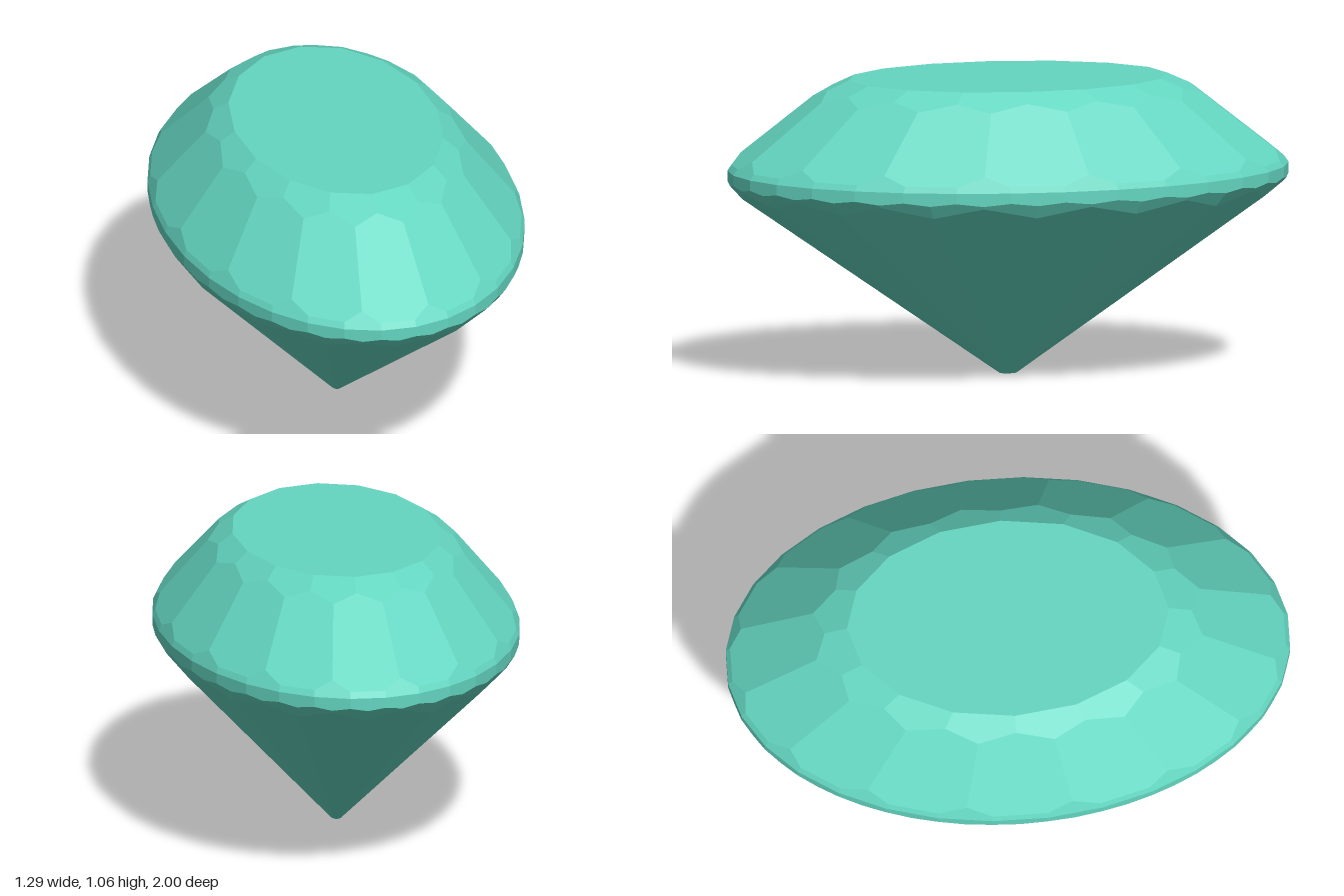
import * as THREE from 'three';

const WIDTH = 0.645; // oval: x radius relative to z radius
const STEP = Math.PI / 16; // girdle has 32 sides

// Facet rings: count, start angle in STEPs, and two profile points [radius, y], upper one first
const RINGS = [
  { name: 'starFacets', count: 16, offset: 1, top: [0.562, 1.063], bottom: [0.70, 1.0] },
  { name: 'crownFacets', count: 16, offset: 0, top: [0.687, 1.0], bottom: [0.97, 0.775] },
  { name: 'upperGirdleFacets', count: 32, offset: 0, top: [0.98, 0.77], bottom: [1, 0.742] },
  { name: 'girdle', count: 32, offset: 0, top: [1, 0.742], bottom: [1, 0.7] },
  { name: 'lowerGirdleFacets', count: 32, offset: 0.5, top: [1.005, 0.705], bottom: [0.95, 0.645] },
  { name: 'pavilionFacets', count: 16, offset: 1, top: [0.937, 0.646], bottom: [0.03, 0] },
];

// Cutting planes of one ring
function ringPlanes({ count, offset, top, bottom }) {
  const planes = [];
  for (let i = 0; i < count; i++) {
    const a = offset * STEP + (i / count) * Math.PI * 2;
    const out = top[1] - bottom[1], up = bottom[0] - top[0];
    const n = new THREE.Vector3(Math.sin(a) * out, up, Math.cos(a) * out).normalize();
    const p = new THREE.Vector3(Math.sin(a) * top[0], top[1], Math.cos(a) * top[0]);
    planes.push(new THREE.Plane().setFromNormalAndCoplanarPoint(n, p));
  }
  return planes;
}

// Keep the part of a polygon behind a plane
function clip(poly, plane) {
  const result = [];
  poly.forEach((p, i) => {
    const q = poly[(i + 1) % poly.length];
    const dp = plane.distanceToPoint(p), dq = plane.distanceToPoint(q);
    if (dp <= 1e-7) result.push(p);
    if ((dp <= 1e-7) !== (dq <= 1e-7)) result.push(p.clone().lerp(q, dp / (dp - dq)));
  });
  return result;
}

// Polygon left on one plane after all the other cuts
function facet(plane, all) {
  const n = plane.normal;
  const side = Math.abs(n.y) > 0.9 ? new THREE.Vector3(1, 0, 0) : new THREE.Vector3(0, 1, 0);
  const u = side.cross(n).normalize();
  const v = n.clone().cross(u);
  const centre = n.clone().multiplyScalar(-plane.constant);
  let poly = [[-4, -4], [4, -4], [4, 4], [-4, 4]].map(([a, b]) =>
    centre.clone().addScaledVector(u, a).addScaledVector(v, b));
  for (const other of all) {
    if (other !== plane && poly.length) poly = clip(poly, other);
  }
  return poly;
}

export function createModel() {
  const group = new THREE.Group();
  group.name = 'ovalGem';
  const gem = new THREE.MeshStandardMaterial({ color: 0x64d6c1 });
  gem.name = 'turquoise';

  const parts = RINGS.map((ring) => ({ name: ring.name, planes: ringPlanes(ring) }));
  // Flat table on top and tiny culet at the bottom
  parts.push({ name: 'table', planes: [new THREE.Plane(new THREE.Vector3(0, 1, 0), -1.063)] });
  parts.push({ name: 'culet', planes: [new THREE.Plane(new THREE.Vector3(0, -1, 0), 0)] });
  const all = parts.flatMap((part) => part.planes);

  for (const { name, planes } of parts) {
    const positions = [];
    for (const plane of planes) {
      const poly = facet(plane, all);
      for (let i = 1; i < poly.length - 1; i++) {
        for (const p of [poly[0], poly[i], poly[i + 1]]) positions.push(p.x * WIDTH, p.y, p.z);
      }
    }
    const geometry = new THREE.BufferGeometry();
    geometry.setAttribute('position', new THREE.Float32BufferAttribute(positions, 3));
    geometry.computeVertexNormals();
    const mesh = new THREE.Mesh(geometry, gem);
    mesh.name = name;
    group.add(mesh);
  }
  return group;
}
